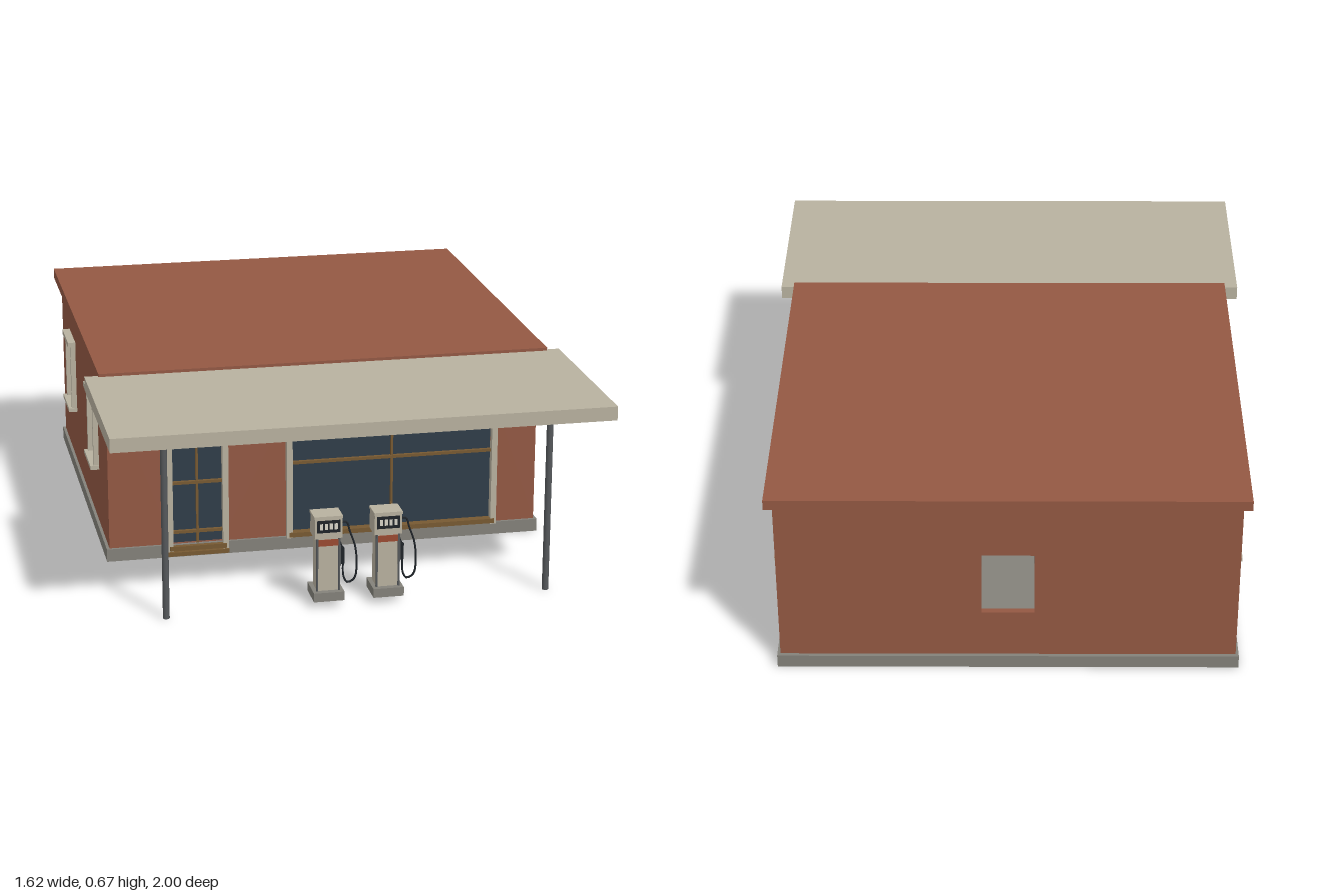
import * as THREE from 'three';

const mat = (name, color) => Object.assign(new THREE.MeshStandardMaterial({ color }), { name });
const brick = mat('brick', 0x935843);
const cream = mat('cream paint', 0xb8b19f);
const concrete = mat('concrete', 0x83817a);
const glass = mat('dark glass', 0x2f3c48);
const wood = mat('wood', 0x775932);
const steel = mat('steel', 0x55585b);
const rubber = mat('black rubber', 0x1e2328);
const stripe = mat('red stripe', 0x9a4a30);
const digit = mat('display white', 0xd8d5c8);

const WALL_BASE = 0.045, WALL_TOP = 0.64, THICK = 0.02;

// Box given by its limits along each axis
function box(parent, name, material, x0, x1, y0, y1, z0, z1) {
  const mesh = new THREE.Mesh(new THREE.BoxGeometry(x1 - x0, y1 - y0, z1 - z0), material);
  mesh.position.set((x0 + x1) / 2, (y0 + y1) / 2, (z0 + z1) / 2);
  mesh.name = name;
  parent.add(mesh);
  return mesh;
}

// Closed outline of a rectangle
function rect(target, x0, x1, y0, y1) {
  target.moveTo(x0, y0).lineTo(x1, y0).lineTo(x1, y1).lineTo(x0, y1).closePath();
  return target;
}

// Wall with openings, its outer face at local z = 0
function wall(name, halfWidth, holes) {
  const group = new THREE.Group();
  group.name = name;
  const shape = rect(new THREE.Shape(), -halfWidth, halfWidth, WALL_BASE, WALL_TOP);
  for (const h of holes) shape.holes.push(rect(new THREE.Path(), ...h));
  const geo = new THREE.ExtrudeGeometry(shape, { depth: THICK, bevelEnabled: false });
  geo.translate(0, 0, -THICK);
  const mesh = new THREE.Mesh(geo, brick);
  mesh.name = name + 'Brickwork';
  group.add(mesh);
  return group;
}

// Framed side window centred on x
function sideWindow(parent, x) {
  const w = 0.088, t = 0.016, y0 = 0.248, y1 = 0.508;
  box(parent, 'windowGlass', glass, x - w + t, x + w - t, y0 + t, y1 - t, -0.014, -0.006);
  for (const s of [-1, 1]) {
    const a = x + s * w, b = x + s * (w - t);
    box(parent, 'windowJamb', cream, Math.min(a, b), Math.max(a, b), y0, y1, -0.016, 0.018);
  }
  box(parent, 'windowHead', cream, x - w - 0.004, x + w + 0.004, y1 - t, y1 + 0.002, -0.016, 0.027);
  box(parent, 'windowSill', cream, x - w - 0.004, x + w + 0.004, y0 - 0.002, y0 + t - 0.004, -0.016, 0.03);
}

// Glazed front opening with cream jambs and wooden bars
function frontGlazing(parent, name, x0, x1, y0, y1, verticals, horizontals) {
  const g = new THREE.Group();
  g.name = name;
  parent.add(g);
  box(g, name + 'Glass', glass, x0, x1, y0, y1, -0.01, -0.004);
  for (const [a, b] of [[x0 - 0.02, x0], [x1, x1 + 0.02]]) {
    box(g, name + 'Jamb', cream, a, b, y0 - 0.01, y1 + 0.02, -0.012, 0.022);
    box(g, name + 'JambCap', cream, a - 0.003, b + 0.003, y1 + 0.012, y1 + 0.022, -0.012, 0.028);
  }
  box(g, name + 'Header', wood, x0 - 0.012, x1 + 0.012, y1 - 0.004, y1 + 0.011, -0.012, 0.026);
  box(g, name + 'Sill', wood, x0 - 0.012, x1 + 0.012, y0 - 0.006, y0 + 0.01, -0.012, 0.026);
  for (const x of verticals) box(g, name + 'Mullion', wood, x - 0.004, x + 0.004, y0, y1, -0.005, 0.006);
  for (const y of horizontals) box(g, name + 'Rail', wood, x0, x1, y - 0.005, y + 0.005, -0.005, 0.008);
  return g;
}

// Fuel pump facing +z, centred on x = 0 and z = 0
function fuelPump() {
  const g = new THREE.Group();
  g.name = 'fuelPump';
  box(g, 'pumpBase', concrete, -0.05, 0.05, 0.025, 0.055, -0.053, 0.053);
  box(g, 'pumpBody', cream, -0.036, 0.036, 0.055, 0.24, -0.032, 0.032);
  for (const s of [-1, 1]) {
    box(g, 'pumpTrim', steel, s * 0.036 - 0.003, s * 0.036 + 0.003, 0.055, 0.235, 0.028, 0.036);
  }
  box(g, 'pumpStripe', stripe, -0.033, 0.033, 0.208, 0.23, 0.03, 0.034);
  box(g, 'pumpHead', cream, -0.045, 0.045, 0.235, 0.305, -0.034, 0.038);
  box(g, 'pumpHeadCap', cream, -0.047, 0.047, 0.302, 0.311, -0.036, 0.04);
  box(g, 'pumpDisplay', rubber, -0.038, 0.038, 0.256, 0.297, 0.035, 0.041);
  for (let i = 0; i < 4; i++) {
    const x = -0.024 + i * 0.016;
    box(g, 'pumpDigit', digit, x - 0.005, x + 0.005, 0.267, 0.287, 0.038, 0.043);
  }
  // Hose and nozzle on the right-hand side of the front
  const path = new THREE.CatmullRomCurve3([
    [0.04, 0.272, 0.0], [0.066, 0.274, 0.0], [0.078, 0.24, 0.003], [0.094, 0.19, 0.008],
    [0.098, 0.12, 0.012], [0.09, 0.082, 0.012], [0.068, 0.07, 0.01], [0.056, 0.09, 0.008], [0.054, 0.15, 0.006],
  ].map(p => new THREE.Vector3(...p)));
  const hose = new THREE.Mesh(new THREE.TubeGeometry(path, 40, 0.0035, 6), rubber);
  hose.name = 'pumpHose';
  g.add(hose);
  box(g, 'nozzleHolder', steel, 0.034, 0.046, 0.13, 0.2, -0.008, 0.016);
  box(g, 'nozzleHandle', rubber, 0.046, 0.058, 0.135, 0.19, 0.0, 0.012);
  const spout = box(g, 'nozzleSpout', rubber, 0.042, 0.05, 0.18, 0.222, 0.0, 0.008);
  spout.rotation.z = 0.4;
  return g;
}

export function createModel() {
  const model = new THREE.Group();
  model.name = 'fuelStation';

  // Foundation, roof and canopy
  box(model, 'foundation', concrete, -0.75, 0.75, 0.003, 0.047, -0.983, 0.35);
  box(model, 'roof', brick, -0.765, 0.765, 0.635, 0.67, -1, 0.364);
  box(model, 'canopy', cream, -0.81, 0.81, 0.614, 0.66, 0.35, 1);
  for (const s of [-1, 1]) {
    const post = new THREE.Mesh(new THREE.CylinderGeometry(0.011, 0.011, 0.612, 12), steel);
    post.position.set(s * 0.627, 0.309, 0.873);
    post.name = 'canopyPost';
    model.add(post);
  }

  // Front wall with door and shop window
  const front = wall('frontWall', 0.74, [[-0.525, -0.355, 0.05, 0.475], [-0.115, 0.58, 0.06, 0.525]]);
  front.position.z = 0.34;
  const door = frontGlazing(front, 'door', -0.525, -0.355, 0.035, 0.475, [-0.44], [0.09, 0.265, 0.41]);
  box(door, 'doorThreshold', wood, -0.545, -0.335, 0.012, 0.026, 0, 0.03);
  frontGlazing(front, 'shopWindow', -0.115, 0.58, 0.055, 0.525, [0.232], [0.31]);
  box(front, 'doorLintel', brick, -0.54, -0.34, 0.5, 0.54, -0.002, 0.001);
  model.add(front);

  // Back wall with an open window hole
  const back = wall('backWall', 0.74, [[-0.085, 0.085, 0.215, 0.44]]);
  back.position.z = -0.97;
  back.rotation.y = Math.PI;
  model.add(back);

  // Side walls, two windows each
  for (const s of [-1, 1]) {
    const holes = [-0.325, 0.325].map(x => [x - 0.075, x + 0.075, 0.262, 0.494]);
    const side = wall(s > 0 ? 'leftWall' : 'rightWall', 0.654, holes);
    for (const x of [-0.325, 0.325]) sideWindow(side, x);
    side.position.set(s * 0.74, 0, -0.315);
    side.rotation.y = s * Math.PI / 2;
    model.add(side);
  }

  // Fuel pumps under the canopy
  for (const x of [-0.1, 0.096]) {
    const pump = fuelPump();
    pump.position.set(x, 0, 0.838);
    model.add(pump);
  }
  return model;
}
